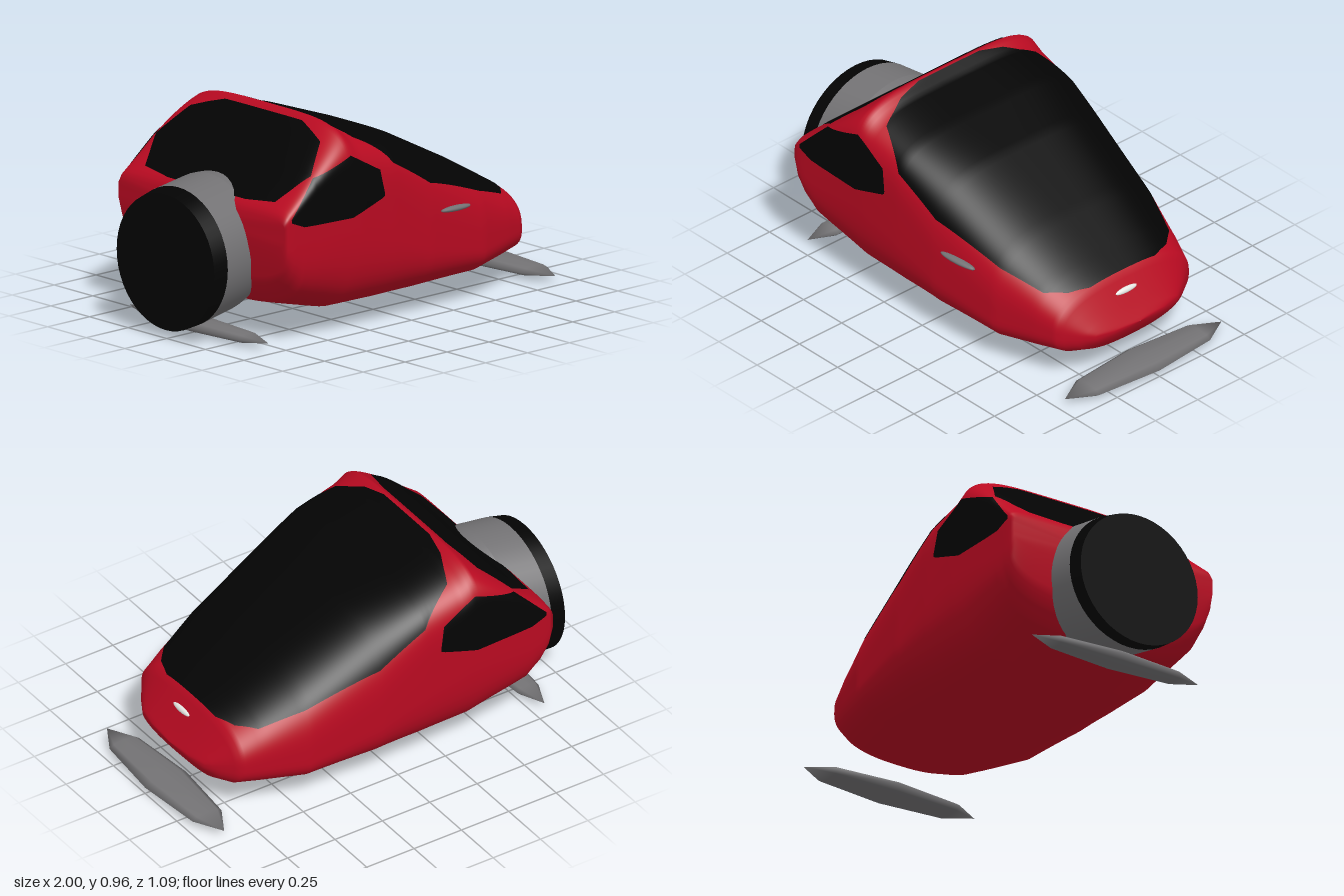
import * as THREE from 'three';

const mat = (name, color, side = THREE.FrontSide) => {
  const m = new THREE.MeshStandardMaterial({ color, side });
  m.name = name;
  return m;
};

// Hull stations along x: [x, bottom, widest height, top, half width, upper roundness, lower roundness]
const STATIONS = [
  [-0.796, 0.51, 0.52, 0.53, 0.002, 8, 3.2],
  [-0.794, 0.45, 0.52, 0.6, 0.537, 9, 3.2],
  [-0.775, 0.3, 0.51, 0.63, 0.541, 10, 3.3],
  [-0.74, 0.23, 0.5, 0.66, 0.543, 10, 3.4],
  [-0.68, 0.16, 0.5, 0.71, 0.543, 10, 3.5],
  [-0.6, 0.14, 0.52, 0.785, 0.543, 9, 3.7],
  [-0.39, 0.09, 0.6, 0.965, 0.544, 4.3, 4.2],
  [-0.33, 0.088, 0.58, 0.922, 0.544, 4.4, 4.1],
  [-0.13, 0.083, 0.48, 0.868, 0.54, 4.8, 3.7],
  [0.1, 0.08, 0.34, 0.789, 0.53, 3.8, 3],
  [0.45, 0.086, 0.25, 0.614, 0.49, 3.3, 2.7],
  [0.65, 0.105, 0.26, 0.504, 0.43, 3, 2.6],
  [0.757, 0.12, 0.26, 0.446, 0.392, 2.7, 2.6],
  [0.81, 0.135, 0.25, 0.348, 0.315, 2.6, 2.5],
  [0.85, 0.185, 0.242, 0.276, 0.245, 2.4, 2.4],
  [0.866, 0.215, 0.238, 0.25, 0.15, 2.2, 2.2],
  [0.873, 0.234, 0.235, 0.236, 0.002, 2, 2],
];

// Linear lookup of a table row at a given x
function rowAt(table, x) {
  let i = 1;
  while (i < table.length - 1 && x > table[i][0]) i++;
  const a = table[i - 1], b = table[i];
  const k = THREE.MathUtils.clamp((x - a[0]) / (b[0] - a[0]), 0, 1);
  return a.map((v, j) => v + (b[j] - v) * k);
}

// Hull surface: rounded section at x, t = 0 at the +z side, PI/2 at the top
function hullPoint(x, t) {
  const [, bot, mid, top, w, nUp, nLow] = rowAt(STATIONS, x);
  const c = Math.cos(t), s = Math.sin(t);
  const n = s >= 0 ? nUp : nLow;
  const z = Math.sign(c) * w * Math.abs(c) ** (2 / n);
  const y = mid + (s >= 0 ? top - mid : bot - mid) * Math.abs(s) ** (2 / n);
  return new THREE.Vector3(x, y, z);
}

// Section angle for a given half width or height
function angleAtZ(x, z) {
  const r = rowAt(STATIONS, x);
  return Math.acos(Math.min(1, z / r[4]) ** (r[5] / 2));
}
function angleAtY(x, y) {
  const [, bot, mid, top, , nUp, nLow] = rowAt(STATIONS, x);
  return y >= mid
    ? Math.asin(Math.min(1, (y - mid) / (top - mid)) ** (nUp / 2))
    : -Math.asin(Math.min(1, (mid - y) / (mid - bot)) ** (nLow / 2));
}

// All station positions inside a range, with extra steps between them
function xSteps(x0, x1, extra) {
  const keys = [x0, ...STATIONS.map((s) => s[0]), ...extra, x1]
    .filter((x) => x >= x0 && x <= x1).sort((a, b) => a - b)
    .filter((x, i, l) => i === 0 || x - l[i - 1] > 1e-5);
  const out = [keys[0]];
  for (let i = 1; i < keys.length; i++) {
    const n = Math.ceil((keys[i] - keys[i - 1]) / 0.025);
    for (let k = 1; k <= n; k++) out.push(keys[i - 1] + ((keys[i] - keys[i - 1]) * k) / n);
  }
  return out;
}

// Grid of points to a smooth surface
function surface(rows, closed) {
  const n = rows[0].length, idx = [];
  for (let i = 0; i < rows.length - 1; i++) {
    for (let j = 0; j < (closed ? n : n - 1); j++) {
      const k = (j + 1) % n;
      const a = i * n + j, b = a + n, c = (i + 1) * n + k, d = i * n + k;
      idx.push(a, b, c, a, c, d);
    }
  }
  const g = new THREE.BufferGeometry();
  g.setAttribute('position', new THREE.Float32BufferAttribute(rows.flat().flatMap((p) => p.toArray()), 3));
  g.setIndex(idx);
  g.computeVertexNormals();
  return g;
}

// Glass laid just above the hull between two section angles
function glass(table, range, offset = 0.003) {
  const x0 = table[0][0], x1 = table[table.length - 1][0], N = 64, e = 1e-3;
  const rows = xSteps(x0, x1, table.map((r) => r[0])).map((x) => {
    const [t0, t1] = range(x, rowAt(table, x));
    return Array.from({ length: N + 1 }, (_, j) => {
      const t = t0 + ((t1 - t0) * j) / N;
      const p = hullPoint(x, t);
      const dx = hullPoint(Math.min(x + e, x1), t).sub(hullPoint(Math.max(x - e, x0), t));
      const dt = hullPoint(x, t + e).sub(hullPoint(x, t - e));
      return p.addScaledVector(dx.cross(dt).normalize(), offset);
    });
  });
  return surface(rows, false);
}

export function createModel() {
  const group = new THREE.Group();
  const red = mat('red paint', 0xb90a21);
  const black = mat('black glass', 0x030303, THREE.DoubleSide);
  const grey = mat('grey metal', 0x737274);
  const white = mat('white lamp', 0xeeeeea);
  const add = (name, geo, material, x = 0, y = 0, z = 0) => {
    const m = new THREE.Mesh(geo, material);
    m.name = name;
    m.position.set(x, y, z);
    group.add(m);
    return m;
  };

  // Body shell
  const SEG = 128;
  add('hull', surface(xSteps(-0.796, 0.873, []).map((x) =>
    Array.from({ length: SEG }, (_, j) => hullPoint(x, (j / SEG) * Math.PI * 2))), true), red);

  // Windshield and rear window: [x, half width]
  const across = (x, r) => {
    const t = angleAtZ(x, r[1]);
    return [t, Math.PI - t];
  };
  add('windshield', glass([[-0.382, 0.18], [-0.36, 0.3], [-0.3, 0.44], [-0.13, 0.52], [0.1, 0.508],
    [0.45, 0.443], [0.65, 0.37], [0.72, 0.29], [0.757, 0.19]], across), black);
  add('rearWindow', glass([[-0.76, 0.25], [-0.74, 0.42], [-0.6, 0.5], [-0.47, 0.42], [-0.42, 0.25]], across), black);

  // Side windows: [x, lower y, upper y]
  const sill = [[-0.755, 0.59, 0.605], [-0.68, 0.56, 0.68], [-0.6, 0.556, 0.76],
    [-0.39, 0.55, 0.828], [-0.22, 0.605, 0.735], [-0.2, 0.615, 0.63]];
  add('leftSideWindow', glass(sill, (x, r) => [angleAtY(x, r[1]), angleAtY(x, r[2])]), black);
  add('rightSideWindow', glass(sill, (x, r) => [Math.PI - angleAtY(x, r[2]), Math.PI - angleAtY(x, r[1])]), black);

  // Rear thruster drum, sheared so that it rises toward the hull
  const drum = (x0, x1, r0, r1) => {
    const g = new THREE.CylinderGeometry(r1, r0, x1 - x0, 48);
    g.rotateZ(-Math.PI / 2).translate((x0 + x1) / 2, 0, 0).scale(1, 0.975, 1);
    const p = g.attributes.position;
    for (let i = 0; i < p.count; i++) p.setY(i, p.getY(i) + 0.35 + 0.18 * (p.getX(i) + 1));
    return g;
  };
  add('thrusterCollar', drum(-0.74, -0.59, 0.318, 0.285), grey, 0, 0, -0.008);
  add('thrusterHousing', drum(-0.925, -0.74, 0.322, 0.318), grey, 0, 0, -0.008);
  add('thrusterNozzle', drum(-1, -0.925, 0.316, 0.322), black, 0, 0, -0.008);

  // Hover skids, small lamp and door handle as stretched spheroids
  const spheroid = (rx, ry, rz, w, h) => new THREE.SphereGeometry(1, w, h).rotateX(Math.PI / 2).scale(rx, ry, rz);
  add('frontSkid', spheroid(0.108, 0.031, 0.462, 8, 4), grey, 0.892, 0.036, 0);
  add('rearSkid', spheroid(0.079, 0.031, 0.45, 8, 4), grey, -0.807, 0.036, 0);
  add('headlight', spheroid(0.01, 0.014, 0.062, 16, 10), white, 0.798, 0.37, 0.015).rotation.z = 0.5;
  add('doorHandle', spheroid(0.1, 0.013, 0.02, 16, 10), grey, 0.25, 0.472, 0.515).rotation.set(0, 0.13, -0.05);

  return group;
}
